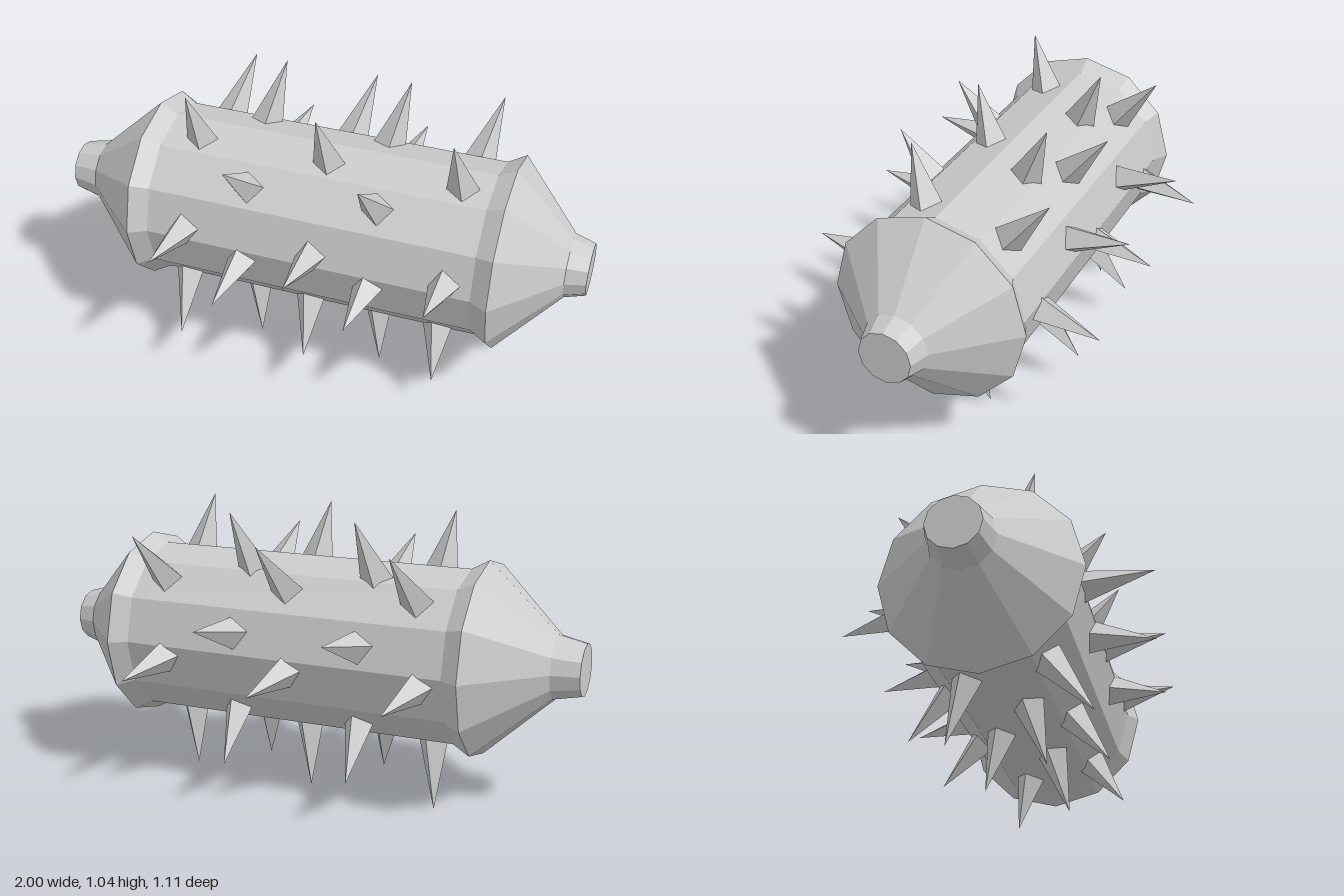
import * as THREE from 'three';

const CY = 0.543, CZ = -0.01; // axis of the roller
const material = new THREE.MeshStandardMaterial({ color: 0xcccccc, flatShading: true });

// Point at a distance and angle (degrees, from up towards the front) around the axis
function around(x, r, deg) {
  const a = THREE.MathUtils.degToRad(deg);
  return new THREE.Vector3(x, r * Math.cos(a), r * Math.sin(a));
}

// Four-sided spike standing on the drum, leaning slightly along the axis
function makeSpike(baseX, tipX, deg, tipR) {
  const base = around(baseX, 0.285, deg);
  const axis = around(tipX, tipR, deg).sub(base);
  const length = axis.length();
  const geometry = new THREE.ConeGeometry(0.064, length, 4);
  geometry.rotateY(0.2);
  geometry.translate(0, length / 2, 0);
  // Turn around the drum first, then lean, so the base keeps its diagonal along x
  const turn = new THREE.Quaternion().setFromAxisAngle(new THREE.Vector3(1, 0, 0), THREE.MathUtils.degToRad(deg));
  const up = new THREE.Vector3(0, 1, 0).applyQuaternion(turn);
  const lean = new THREE.Quaternion().setFromUnitVectors(up, axis.normalize());
  const spike = new THREE.Mesh(geometry, material);
  spike.quaternion.copy(lean.multiply(turn));
  spike.position.copy(base);
  spike.name = 'spike';
  return spike;
}

export function createModel() {
  const model = new THREE.Group();
  model.name = 'spikedRoller';
  const roller = new THREE.Group();
  roller.position.set(0, CY, CZ);
  model.add(roller);

  // Twelve-sided drum with flared rims, tapered ends and short stubs
  const profile = [
    [0, -1], [0.095, -1], [0.117, -0.9], [0.356, -0.645], [0.32, -0.58],
    [0.32, 0.64], [0.356, 0.705], [0.117, 0.925], [0.095, 1], [0, 1],
  ].map(([r, x]) => new THREE.Vector2(r, x));
  const drum = new THREE.Mesh(new THREE.LatheGeometry(profile, 12).rotateZ(-Math.PI / 2), material);
  drum.name = 'drum';
  roller.add(drum);

  // Each spike: base x, tip x, angle, tip radius, change of angle and radius per ring
  const outerRing = [
    [-0.44, -0.47, 17, 0.52, 0, 0],
    [-0.435, -0.45, 83.4, 0.568, 0, -0.02],
    [-0.48, -0.46, 141.6, 0.555, 1, -0.02],
    [-0.48, -0.51, 195, 0.56, -1.75, -0.015],
    [-0.495, -0.45, 262, 0.548, 0, 0],
    [-0.455, -0.41, 318, 0.557, 0, 0],
  ];
  const innerRing = [
    [-0.21, -0.24, 46, 0.515, -3, 0],
    [-0.21, -0.23, 99, 0.545, 0, -0.02],
    [-0.24, -0.21, 165, 0.535, 1, 0.01],
    [-0.24, -0.25, 220.5, 0.54, 0, 0],
    [-0.27, -0.235, 284, 0.546, 0, 0],
    [-0.275, -0.225, 336, 0.544, 0, 0],
  ];

  function addRings(name, spikes, count, step) {
    for (let i = 0; i < count; i++) {
      const ring = new THREE.Group();
      ring.name = name;
      for (const [baseX, tipX, deg, tipR, dDeg, dR] of spikes) {
        ring.add(makeSpike(baseX + i * step, tipX + i * step, deg + i * dDeg, tipR + i * dR));
      }
      roller.add(ring);
    }
  }
  addRings('spikeRing', outerRing, 3, 0.49);
  addRings('offsetSpikeRing', innerRing, 2, 0.48);

  return model;
}
